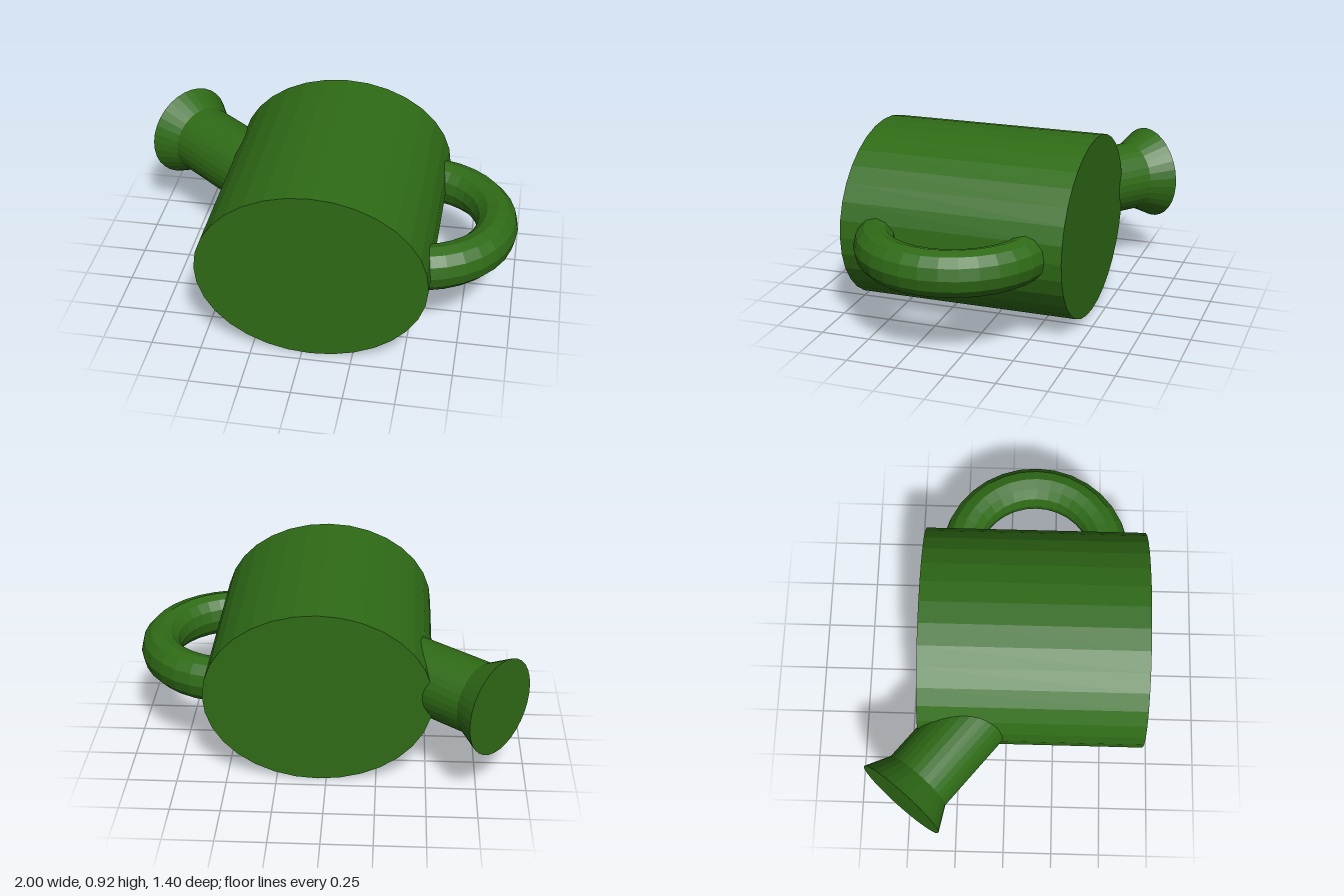
import * as THREE from 'three';

export function createModel() {
  const group = new THREE.Group();
  const material = new THREE.MeshStandardMaterial({ color: 0x2f6b16, flatShading: true });
  const add = (name, geometry, x, y, z) => {
    const mesh = new THREE.Mesh(geometry, material);
    mesh.name = name;
    mesh.position.set(x, y, z);
    group.add(mesh);
    return mesh;
  };

  // Closed oval can lying along z
  const body = new THREE.CylinderGeometry(1, 1, 1.14, 32).rotateX(Math.PI / 2).scale(0.568, 0.4575, 1);
  add('body', body, 0.043, 0.4575, 0.13);

  // Half-ring handle, its ends sunk into the body
  const handle = new THREE.TorusGeometry(0.395, 0.105, 12, 16, Math.PI)
    .rotateZ(-Math.PI / 2)
    .rotateX(Math.PI / 2)
    .scale(1, 1.095, 1);
  add('handle', handle, 0.499, 0.46, 0.13);

  // Straight spout neck with a flared, capped mouth
  const profile = [[0, -0.5], [0.183, -0.5], [0.183, 0], [0.2475, 0.125], [0, 0.125]]
    .map(([r, y]) => new THREE.Vector2(r, y));
  const spout = add('spout', new THREE.LatheGeometry(profile, 32), -0.748, 0.482, -0.43);
  const direction = new THREE.Vector3(-0.779, 0, -0.627).normalize();
  spout.quaternion.setFromUnitVectors(new THREE.Vector3(0, 1, 0), direction);

  return group;
}
